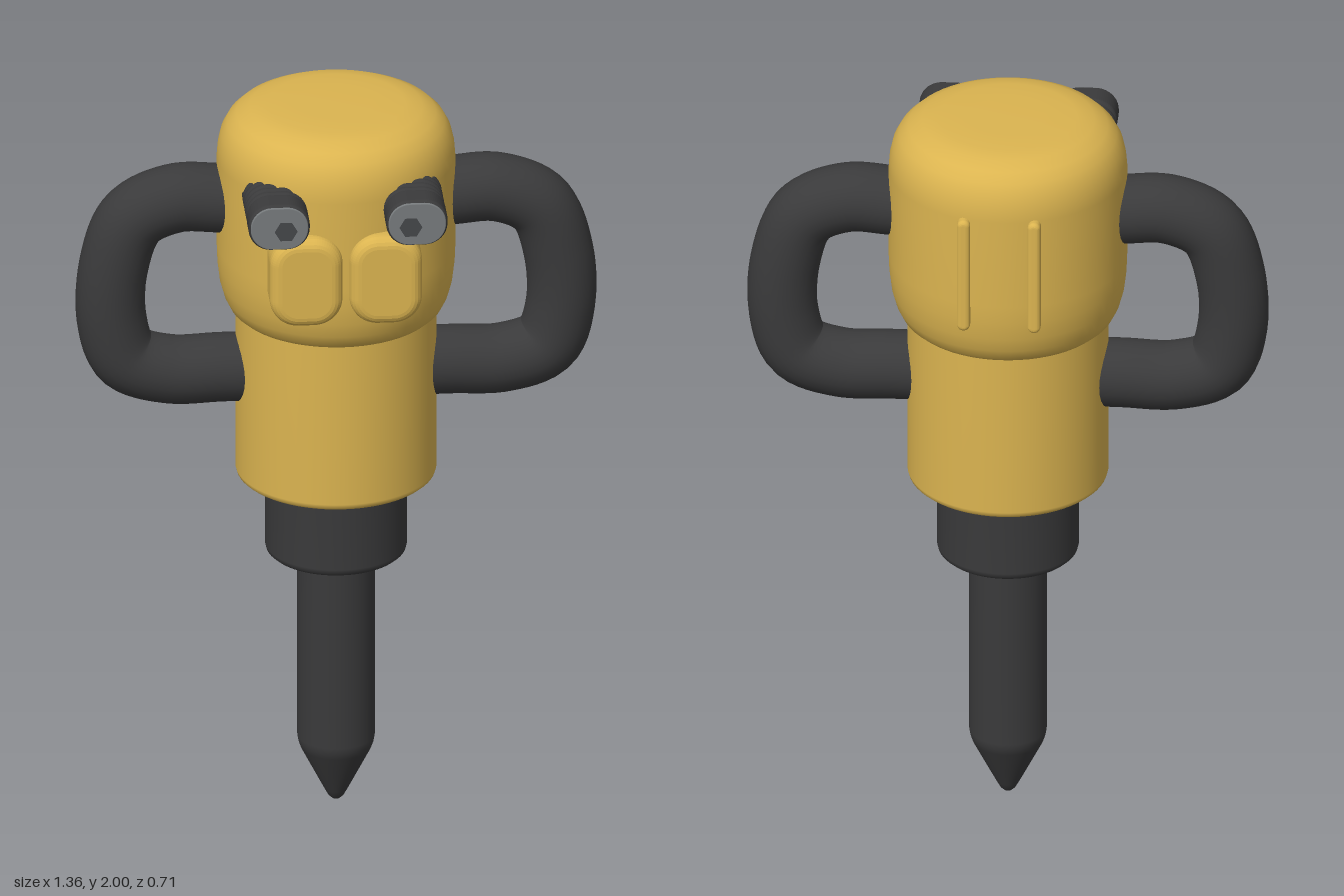
import * as THREE from 'three';

const AXIS_Z = -0.035; // centre line of the body

function material(name, color) {
  const m = new THREE.MeshStandardMaterial({ color });
  m.name = name;
  return m;
}

// Rounded rectangle centred on the origin
function roundedRect(w, h, r) {
  const x = w / 2, y = h / 2, s = new THREE.Shape();
  s.absarc(x - r, y - r, r, 0, Math.PI / 2);
  s.absarc(-x + r, y - r, r, Math.PI / 2, Math.PI);
  s.absarc(-x + r, -y + r, r, Math.PI, Math.PI * 1.5);
  s.absarc(x - r, -y + r, r, Math.PI * 1.5, Math.PI * 2);
  s.closePath();
  return s;
}

// Rounded block of full size w x h, from z0 to z1, with softened edges
function softBlock(w, h, r, z0, z1, bevel) {
  const g = new THREE.ExtrudeGeometry(roundedRect(w - 2 * bevel, h - 2 * bevel, r - bevel), {
    depth: z1 - z0 - 2 * bevel, bevelThickness: bevel, bevelSize: bevel, bevelSegments: 5, curveSegments: 8,
  });
  g.translate(0, 0, z0 + bevel);
  return g;
}

export function createModel() {
  const yellow = material('yellow paint', 0xdbb450);
  const dark = material('dark rubber', 0x3a3a3b);
  const grey = material('grey metal', 0x777b7d);
  const socketDark = material('socket', 0x45474a);
  const model = new THREE.Group();
  model.name = 'jackhammer';

  function add(name, geometry, mat, x = 0, y = 0, z = 0) {
    const mesh = new THREE.Mesh(geometry, mat);
    mesh.name = name;
    mesh.position.set(x, y, z);
    model.add(mesh);
    return mesh;
  }
  // Turned part: [radius, height] pairs from bottom to top
  function turned(name, mat, profile) {
    const pts = profile.map(([r, y]) => new THREE.Vector2(r, y));
    add(name, new THREE.LatheGeometry(pts, 64), mat, 0, 0, AXIS_Z);
  }

  // Main body
  turned('head', yellow, [
    [0, 1.415], [0.25, 1.415], [0.262, 1.418], [0.278, 1.432], [0.292, 1.46], [0.303, 1.5], [0.309, 1.55],
    [0.311, 1.6], [0.311, 1.85], [0.308, 1.885], [0.3, 1.92], [0.284, 1.95], [0.26, 1.973],
    [0.225, 1.99], [0.18, 1.998], [0.1, 2], [0, 2],
  ]);
  turned('barrel', yellow, [
    [0, 0.945], [0.235, 0.945], [0.252, 0.948], [0.259, 0.954], [0.262, 0.965], [0.262, 1.43],
  ]);
  turned('collar', dark, [
    [0, 0.718], [0.155, 0.718], [0.173, 0.722], [0.182, 0.73], [0.185, 0.742],
    [0.185, 0.92], [0.19, 0.935], [0.2, 0.946],
  ]);
  turned('chisel', dark, [
    [0, 0.005], [0.01, 0.006], [0.02, 0.015], [0.03, 0.033], [0.092, 0.155], [0.098, 0.172],
    [0.101, 0.19], [0.101, 0.7], [0.107, 0.712], [0.118, 0.72],
  ]);

  for (const [side, s] of [['left', 1], ['right', -1]]) {
    // Side handle
    const path = new THREE.CatmullRomCurve3([
      [0.2, 1.735], [0.3, 1.738], [0.42, 1.742], [0.53, 1.69], [0.58, 1.56],
      [0.586, 1.4], [0.548, 1.293], [0.44, 1.253], [0.3, 1.253], [0.18, 1.253],
    ].map(([x, y]) => new THREE.Vector3(s * x, y, AXIS_Z)));
    add(side + 'Handle', new THREE.TubeGeometry(path, 64, 0.091, 24), dark);

    // Front pad
    add(side + 'FrontPad', softBlock(0.19, 0.25, 0.075, 0.14, 0.305, 0.03), yellow, s * 0.104, 1.635, 0);

    // Ribbed connector with a metal end and a socket
    const cx = s * 0.18, cy = 1.823;
    add(side + 'ConnectorCore', softBlock(0.142, 0.108, 0.053, 0.05, 0.3, 0.005), dark, cx, cy, 0);
    for (let i = 0; i < 6; i++) {
      const z = 0.122 + i * 0.025;
      add(side + 'ConnectorRib' + (i + 1), softBlock(0.16, 0.122, 0.06, z, z + 0.022, 0.01), dark, cx, cy, 0);
    }
    add(side + 'ConnectorCap', softBlock(0.16, 0.128, 0.06, 0.272, 0.352, 0.012), dark, cx, cy, 0);
    add(side + 'ConnectorFace', softBlock(0.15, 0.118, 0.056, 0.347, 0.355, 0.003), grey, cx, cy, 0);
    add(side + 'ConnectorSocket', new THREE.CircleGeometry(0.03, 6), socketDark, s * 0.163, 1.815, 0.3565);

    // Thin back ridge
    add(side + 'BackRidge', softBlock(0.034, 0.325, 0.0165, -0.356, -0.3, 0.012), yellow, s * 0.092, 1.692, 0);
  }
  return model;
}
